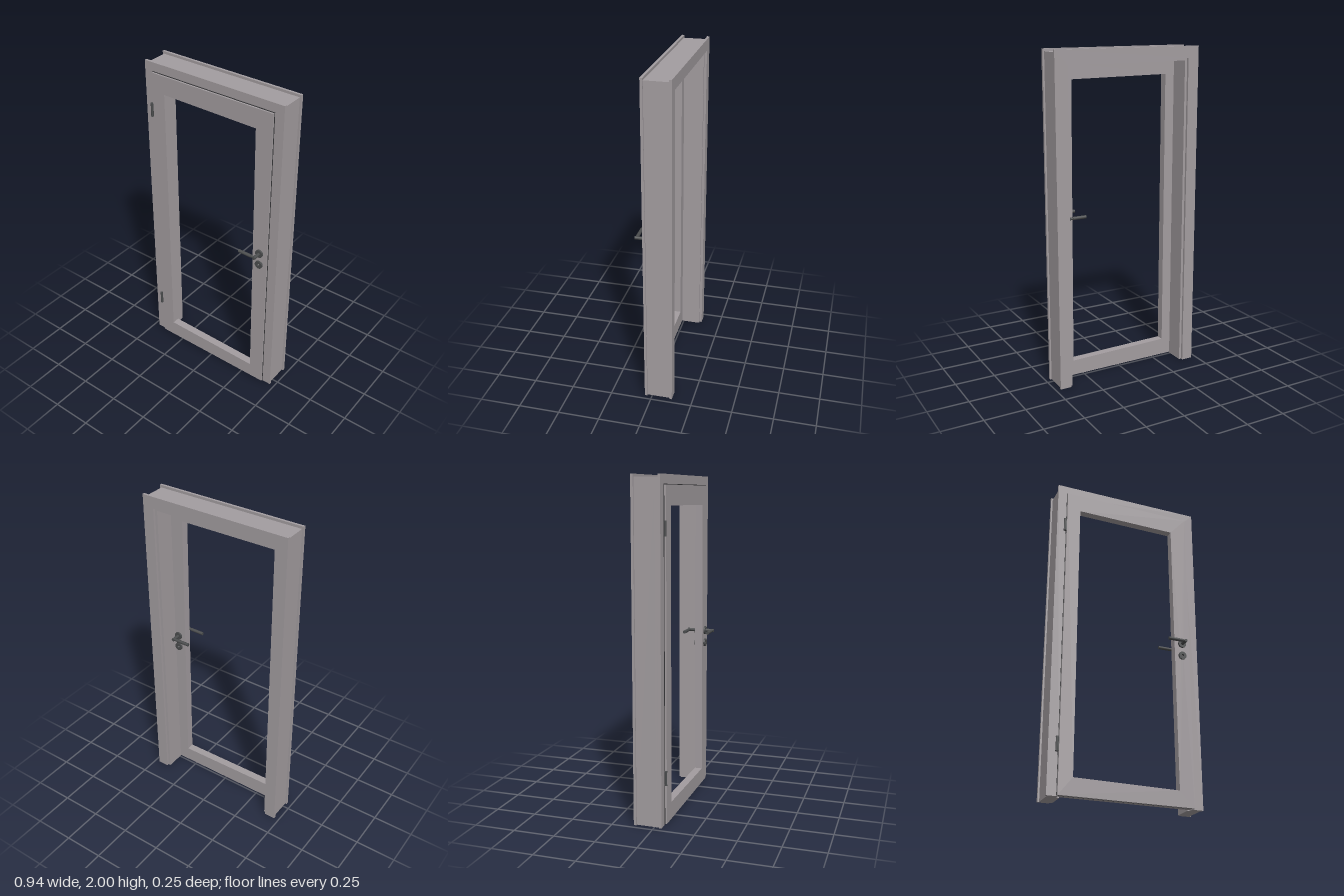
import * as THREE from 'three';

const paint = new THREE.MeshStandardMaterial({ color: 0xa39da0 });
paint.name = 'grey paint';
const metal = new THREE.MeshStandardMaterial({ color: 0x4b4d4e });
metal.name = 'dark metal';
const rubber = new THREE.MeshStandardMaterial({ color: 0x39393b });
rubber.name = 'dark rubber';

const HANDLE_X = 0.36, HANDLE_Y = 1.025, KEY_Y = 0.945;
const LEAF_BACK = 0.01, LEAF_FRONT = 0.058;

function polygon(points, Type = THREE.Shape) {
  return new Type(points.map(([x, y]) => new THREE.Vector2(x, y)));
}

function rect(halfW, y0, y1, Type) {
  return polygon([[-halfW, y0], [halfW, y0], [halfW, y1], [-halfW, y1]], Type);
}

// Flat part cut from a shape, between two depths
function slab(name, shape, z0, z1, material) {
  const geometry = new THREE.ExtrudeGeometry(shape, { depth: z1 - z0, bevelEnabled: false, curveSegments: 12 });
  geometry.translate(0, 0, z0);
  const mesh = new THREE.Mesh(geometry, material);
  mesh.name = name;
  return mesh;
}

// Three-sided frame, open at the floor
function arch(name, halfW, top, innerHalfW, innerTop, z0, z1) {
  const shape = polygon([
    [-halfW, 0], [-innerHalfW, 0], [-innerHalfW, innerTop], [innerHalfW, innerTop],
    [innerHalfW, 0], [halfW, 0], [halfW, top], [-halfW, top],
  ]);
  return slab(name, shape, z0, z1, paint);
}

function rod(name, radius, length, axis, x, y, z, segments = 16) {
  const geometry = new THREE.CylinderGeometry(radius, radius, length, segments);
  if (axis === 'x') geometry.rotateZ(Math.PI / 2);
  if (axis === 'z') geometry.rotateX(Math.PI / 2);
  const mesh = new THREE.Mesh(geometry, metal);
  mesh.name = name;
  mesh.position.set(x, y, z);
  return mesh;
}

function keyHole() {
  return new THREE.Path().absarc(HANDLE_X, KEY_Y, 0.008, 0, Math.PI * 2, true);
}

// One layer of the door leaf with the glazing opening and key hole
function leafLayer(name, halfW, top, z0, z1) {
  const shape = rect(halfW, 0.005, top);
  shape.holes.push(
    polygon([[-0.325, 0.11], [-0.325, 1.83], [0.305, 1.825], [0.318, 0.1]], THREE.Path),
    keyHole(),
  );
  return slab(name, shape, z0, z1, paint);
}

// Lever, rosettes and neck on one face; side is +1 for front, -1 for back
function handleSet(name, face, side) {
  const group = new THREE.Group();
  group.name = name;
  const leverZ = face + side * 0.052;
  group.add(rod('handleRosette', 0.025, 0.011, 'z', HANDLE_X, HANDLE_Y, face + side * 0.0055, 24));
  group.add(rod('handleNeck', 0.01, 0.062, 'z', HANDLE_X, HANDLE_Y, face + side * 0.031));
  group.add(rod('leverRoot', 0.008, 0.035, 'x', 0.345, HANDLE_Y, leverZ));
  group.add(rod('leverGrip', 0.01, 0.087, 'x', 0.2915, HANDLE_Y, leverZ));
  const ring = new THREE.Shape().absarc(HANDLE_X, KEY_Y, 0.025, 0, Math.PI * 2, false);
  ring.holes.push(keyHole());
  const outer = face + side * 0.011;
  group.add(slab('keyRosette', ring, Math.min(face, outer), Math.max(face, outer), metal));
  return group;
}

// Hinge barrel with end caps and a short leaf plate
function hinge(y) {
  const group = new THREE.Group();
  group.name = 'hinge';
  group.add(rod('hingeBarrel', 0.007, 0.08, 'y', -0.423, y, 0.057, 12));
  for (const s of [-1, 1]) group.add(rod('hingeCap', 0.008, 0.006, 'y', -0.423, y + s * 0.04, 0.057, 12));
  const plate = new THREE.Mesh(new THREE.BoxGeometry(0.012, 0.076, 0.006), metal);
  plate.name = 'hingePlate';
  plate.position.set(-0.414, y, 0.053);
  group.add(plate);
  return group;
}

export function createModel() {
  const model = new THREE.Group();
  model.name = 'door';

  // Frame: casings either side of the stepped wall lining
  const frame = new THREE.Group();
  frame.name = 'frame';
  frame.add(
    arch('frontCasing', 0.47, 2, 0.4, 1.93, 0.03, 0.045),
    arch('rebateLining', 0.46, 1.985, 0.4, 1.93, 0.01, 0.03),
    arch('stopLining', 0.46, 1.985, 0.385, 1.915, -0.11, 0.01),
    arch('backCasing', 0.47, 2, 0.4, 1.93, -0.125, -0.11),
  );
  model.add(frame);

  // Leaf: core inside the rebate, overlapping lip in front
  const leaf = new THREE.Group();
  leaf.name = 'leaf';
  leaf.add(
    leafLayer('leafCore', 0.396, 1.926, LEAF_BACK, 0.048),
    leafLayer('leafLip', 0.41, 1.943, 0.048, LEAF_FRONT),
  );
  const sealShape = rect(0.413, 0.003, 1.947);
  sealShape.holes.push(rect(0.398, 0.012, 1.928, THREE.Path));
  leaf.add(slab('seal', sealShape, 0.045, 0.048, rubber));
  model.add(leaf);

  // Hardware
  model.add(handleSet('frontHandle', LEAF_FRONT, 1), handleSet('backHandle', LEAF_BACK, -1));
  for (const y of [0.288, 1.708]) model.add(hinge(y));

  return model;
}
